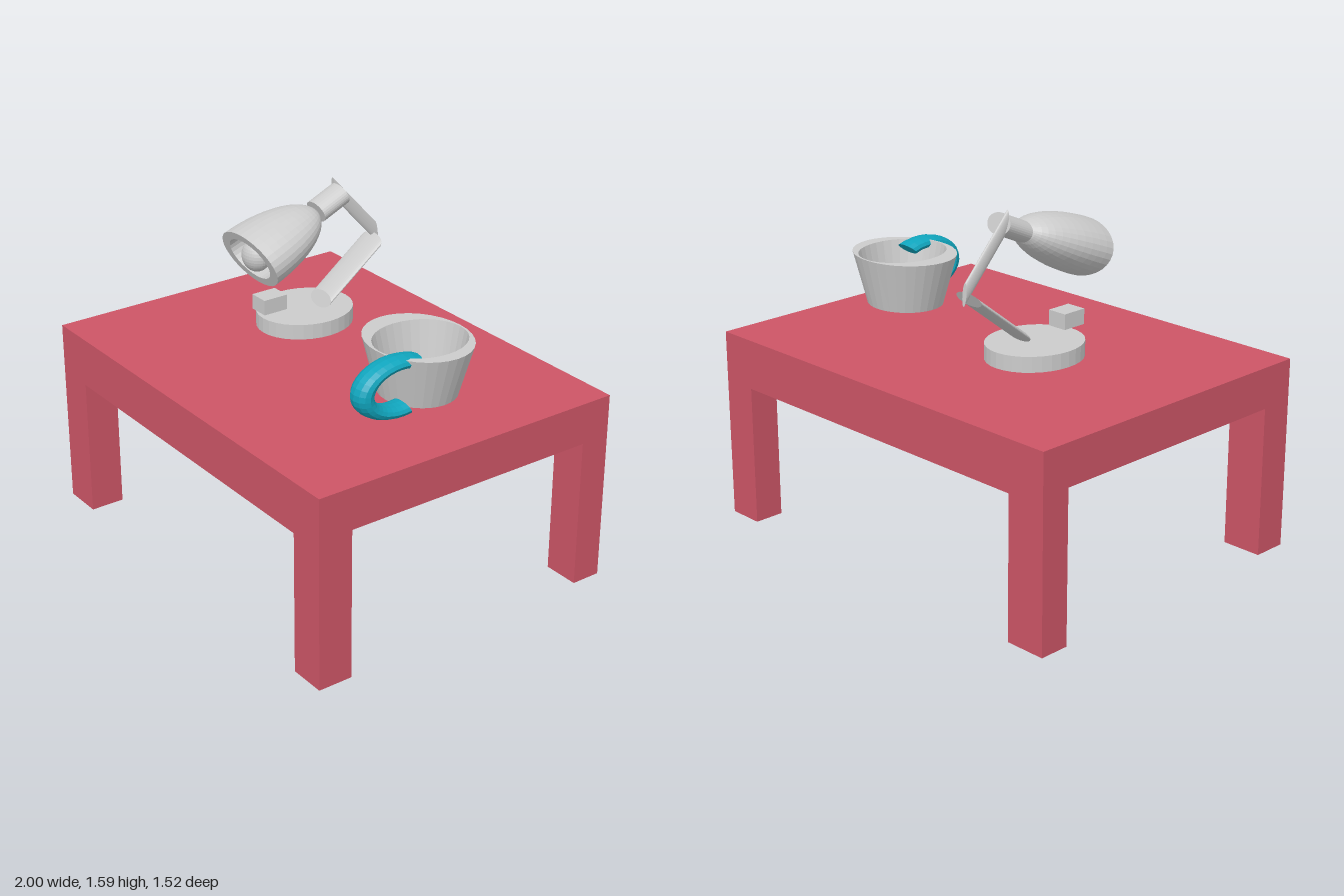
import * as THREE from 'three';

const paint = (color) =>
  new THREE.MeshStandardMaterial({ color, flatShading: true });
const grey = paint(0xcccccc);
const red = paint(0xcc5566);
const teal = paint(0x10a5bd);

function add(group, name, geometry, material) {
  const mesh = new THREE.Mesh(geometry, material);
  mesh.name = name;
  group.add(mesh);
  return mesh;
}

// Box given by its minimum and maximum corners
function box(group, name, a, b, material) {
  const g = new THREE.BoxGeometry(b[0] - a[0], b[1] - a[1], b[2] - a[2]);
  g.translate((a[0] + b[0]) / 2, (a[1] + b[1]) / 2, (a[2] + b[2]) / 2);
  return add(group, name, g, material);
}

// Fits a unit shape standing on y = 0 between two points at one x:
// rx is the half width, side the other half axis; the ends may be skewed
function stretch(geometry, x, from, to, rx, side) {
  const up = new THREE.Vector3(0, to[0] - from[0], to[1] - from[1]);
  const c = new THREE.Vector3(0, side[0], side[1]);
  const m = new THREE.Matrix4().makeBasis(new THREE.Vector3(rx, 0, 0), up, c);
  if (m.determinant() < 0) {
    m.makeBasis(new THREE.Vector3(rx, 0, 0), up, c.negate());
  }
  m.setPosition(x, from[0], from[1]);
  return geometry.applyMatrix4(m);
}

const rod = () => new THREE.CylinderGeometry(1, 1, 1, 32).translate(0, 0.5, 0);

function createTable() {
  const table = new THREE.Group();
  table.name = 'table';
  box(table, 'tableTop', [-1, 0.69, -0.76], [1, 0.88, 0.76], red);
  for (const [z0, z1] of [[-0.76, -0.62], [0.6, 0.76]]) {
    box(table, 'rail', [-0.81, 0.65, z0], [0.83, 0.69, z1], red);
    for (const [x0, x1] of [[-1, -0.81], [0.83, 1]]) {
      box(table, 'leg', [x0, 0, z0], [x1, 0.69, z1], red);
    }
  }
  return table;
}

function createLamp() {
  const lamp = new THREE.Group();
  lamp.name = 'lamp';

  const base = rod().scale(0.202, 0.07, 0.228).translate(-0.302, 0.93, -0.103);
  add(lamp, 'lampBase', base, grey);
  box(lamp, 'switch', [-0.36, 1.03, 0.02], [-0.265, 1.1, 0.14], grey);

  // Flat skewed arms and the neck; points are [y, z]
  add(lamp, 'lowerArm',
    stretch(rod(), -0.265, [1.034, -0.167], [1.25, -0.45], 0.073, [0.033, -0.017]), grey);
  add(lamp, 'upperArm',
    stretch(rod(), -0.277, [1.28, -0.487], [1.543, -0.245], 0.012, [0.05, 0.005]), grey);
  add(lamp, 'neck',
    stretch(rod(), -0.238, [1.47, -0.122], [1.528, -0.253], 0.067, [0.045, 0.015]), grey);

  // Thick-walled shade: inner bowl down to the rim, then the outer shell up
  const profile = [];
  const n = 14;
  for (let i = 0; i <= n; i++) {
    const a = (1 - i / n) * Math.PI / 2;
    profile.push(new THREE.Vector2(0.73 * Math.cos(a), 0.82 * Math.sin(a)));
  }
  for (let i = 0; i <= n; i++) {
    const a = (i / n) * Math.PI / 2;
    profile.push(new THREE.Vector2(Math.cos(a), Math.sin(a)));
  }
  add(lamp, 'shade',
    stretch(new THREE.LatheGeometry(profile, 32), -0.23,
      [1.335, 0.237], [1.475, -0.115], 0.2, [0.12, 0.048]), grey);

  const bulb = new THREE.SphereGeometry(1, 32, 16).scale(0.072, 0.072, 0.06);
  add(lamp, 'bulb', bulb.translate(-0.24, 1.34, 0.197), grey);
  return lamp;
}

function createCup() {
  const cup = new THREE.Group();
  cup.name = 'cup';

  // Rings from outer bottom over the rim to the floor: x, y, z, rx, rz
  const rings = [
    [0.593, 0.955, -0.04, 0, 0],
    [0.593, 0.955, -0.04, 0.183, 0.167],
    [0.593, 1.193, -0.04, 0.258, 0.221],
    [0.607, 1.193, -0.04, 0.185, 0.212],
    [0.607, 0.975, -0.045, 0.137, 0.163],
    [0.607, 0.975, -0.045, 0, 0],
  ];
  const body = new THREE.LatheGeometry(rings.map((r, i) => new THREE.Vector2(1, i)), 32);
  const p = body.attributes.position;
  for (let i = 0; i < p.count; i++) {
    const [x, y, z, rx, rz] = rings[i % rings.length];
    p.setXYZ(i, x + rx * p.getX(i), y, z + rz * p.getZ(i));
  }
  body.computeVertexNormals();
  add(cup, 'cupBody', body, grey);

  // C-shaped handle: an unequally scaled arc with closed ends
  const handle = new THREE.Group();
  handle.name = 'handle';
  const start = THREE.MathUtils.degToRad(-105);
  const arc = THREE.MathUtils.degToRad(227);
  const tube = 0.27;
  const fit = (g) => g.rotateY(-Math.PI / 2)
    .scale(0.058 / tube, 0.106, 0.168).translate(0.698, 1.07, 0.16);
  add(handle, 'handleTube',
    fit(new THREE.TorusGeometry(1, tube, 12, 20, arc).rotateZ(start)), teal);
  for (const [angle, turn] of [[start, Math.PI / 2], [start + arc, -Math.PI / 2]]) {
    const cap = new THREE.CircleGeometry(tube, 12).rotateX(turn);
    add(handle, 'handleEnd', fit(cap.translate(1, 0, 0).rotateZ(angle)), teal);
  }
  cup.add(handle);
  return cup;
}

export function createModel() {
  const model = new THREE.Group();
  model.name = 'tableWithLampAndCup';
  model.add(createTable(), createLamp(), createCup());
  return model;
}
